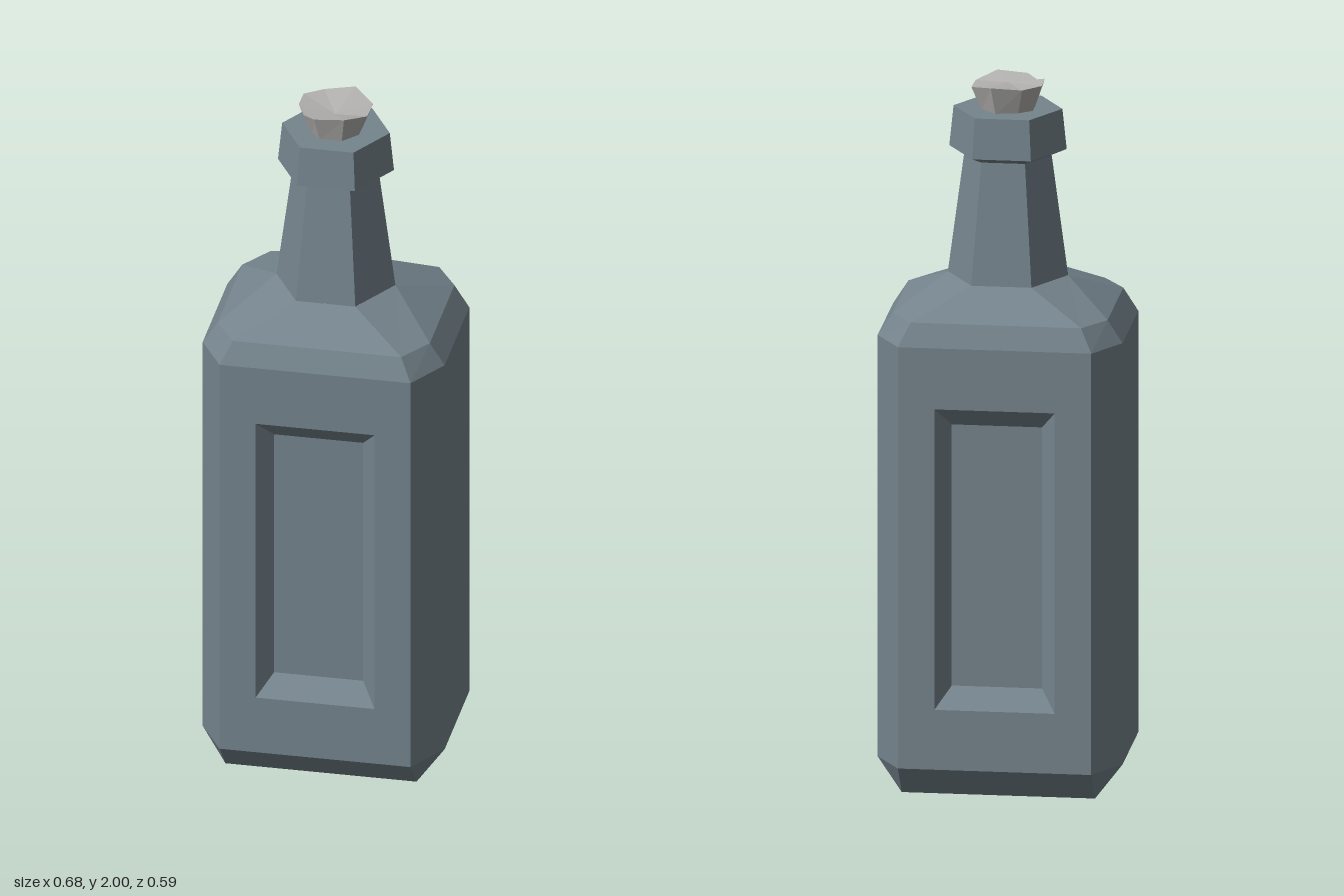
import * as THREE from 'three';

const glass = new THREE.MeshStandardMaterial({ color: 0x75848d });
glass.name = 'blue grey glass';
const cork = new THREE.MeshStandardMaterial({ color: 0xb4b3b1 });
cork.name = 'pale grey stopper';

// Flat-shaded mesh from convex polygons, fanned into triangles
function facetMesh(name, polygons, material) {
  const pos = [];
  for (const p of polygons) {
    for (let i = 1; i < p.length - 1; i++) {
      const t = new THREE.Triangle(p[0], p[i], p[i + 1]);
      if (t.getArea() > 1e-7) for (const v of [t.a, t.b, t.c]) pos.push(v.x, v.y, v.z);
    }
  }
  const g = new THREE.BufferGeometry();
  g.setAttribute('position', new THREE.Float32BufferAttribute(pos, 3));
  g.computeVertexNormals();
  const mesh = new THREE.Mesh(g, material);
  mesh.name = name;
  return mesh;
}

// Quads joining two rings with the same number of corners
function band(a, b, skip = []) {
  const out = [];
  a.forEach((v, i) => {
    const j = (i + 1) % a.length;
    if (!skip.includes(i)) out.push([v, a[j], b[j], b[i]]);
  });
  return out;
}

const vec = (x, y, z) => new THREE.Vector3(x, y, z);

// Eight-cornered ring: (x1, z1) ends the front edge, (x2, z2) starts the side edge
const octagon = (y, x1, z1, x2, z2) => [
  vec(x1, y, z1), vec(x2, y, z2), vec(x2, y, -z2), vec(x1, y, -z1),
  vec(-x1, y, -z1), vec(-x2, y, -z2), vec(-x2, y, z2), vec(-x1, y, z1),
];

// Six-cornered ring with corners on the x axis
const hexagon = (y, r) => Array.from({ length: 6 }, (_, i) => {
  const a = (i + 0.5) * Math.PI / 3 - Math.PI / 3 + Math.PI / 3;
  return vec(r * Math.sin(a), y, r * Math.cos(a));
});

// Upright rectangle facing +z
const rectangle = (x, y0, y1, z) => [vec(-x, y0, z), vec(x, y0, z), vec(x, y1, z), vec(-x, y1, z)];

function makeBody() {
  const foot = octagon(0, 0.27, 0.21, 0.27, 0.21);
  const low = octagon(0.09, 0.27, 0.293, 0.342, 0.172);
  const high = octagon(1.30, 0.27, 0.293, 0.342, 0.172);
  const rim = octagon(1.365, 0.238, 0.267, 0.30, 0.172);
  const neckBase = octagon(1.443, 0.084, 0.1455, 0.168, 0);
  return facetMesh('body', [
    [foot[0], foot[7], foot[4], foot[3]],
    ...band(foot, low),
    ...band(low, high, [3, 7]), // front and back are the recessed panels
    ...band(high, rim),
    ...band(rim, neckBase),
  ], glass);
}

// Large face with a bevelled recess
function makePanel(name) {
  const edge = rectangle(0.27, 0.09, 1.30, 0.293);
  const outer = rectangle(0.168, 0.262, 1.125, 0.293);
  const inner = rectangle(0.126, 0.32, 1.07, 0.243);
  return facetMesh(name, [...band(edge, outer), ...band(outer, inner), inner], glass);
}

function makeNeck() {
  const rings = [[1.443, 0.168], [1.787, 0.122]].map(([y, r]) => hexagon(y, r));
  return facetMesh('neck', band(rings[0], rings[1]), glass);
}

function makeCollar() {
  const rings = [[1.787, 0.122], [1.805, 0.164], [1.92, 0.152]].map(([y, r]) => hexagon(y, r));
  return facetMesh('collar', [...band(rings[0], rings[1]), ...band(rings[1], rings[2]), rings[2]], glass);
}

// Rough-cut stopper with an uneven top and a small split on one side
function makeStopper() {
  const top = [
    [0.042, 2.0, 0.097], [0.095, 1.985, 0.035], [0.097, 1.985, -0.04], [0.035, 2.0, -0.103],
    [-0.05, 1.992, -0.085], [-0.1, 1.995, -0.042], [-0.1, 1.998, 0.025],
    [-0.084, 1.97, 0.034], [-0.082, 1.982, 0.055], [-0.043, 1.993, 0.097],
  ].map((p) => vec(...p));
  const base = top.map((v) => vec(v.x * 0.72, 1.915, v.z * 0.72));
  const centre = vec(0.005, 1.982, 0.034);
  const cap = top.map((v, i) => [centre, v, top[(i + 1) % top.length]]);
  return facetMesh('stopper', [...band(base, top), ...cap], cork);
}

export function createModel() {
  const model = new THREE.Group();
  model.name = 'bottle';
  const backPanel = makePanel('backPanel');
  backPanel.rotation.y = Math.PI;
  model.add(makeBody(), makePanel('frontPanel'), backPanel, makeNeck(), makeCollar(), makeStopper());
  return model;
}
